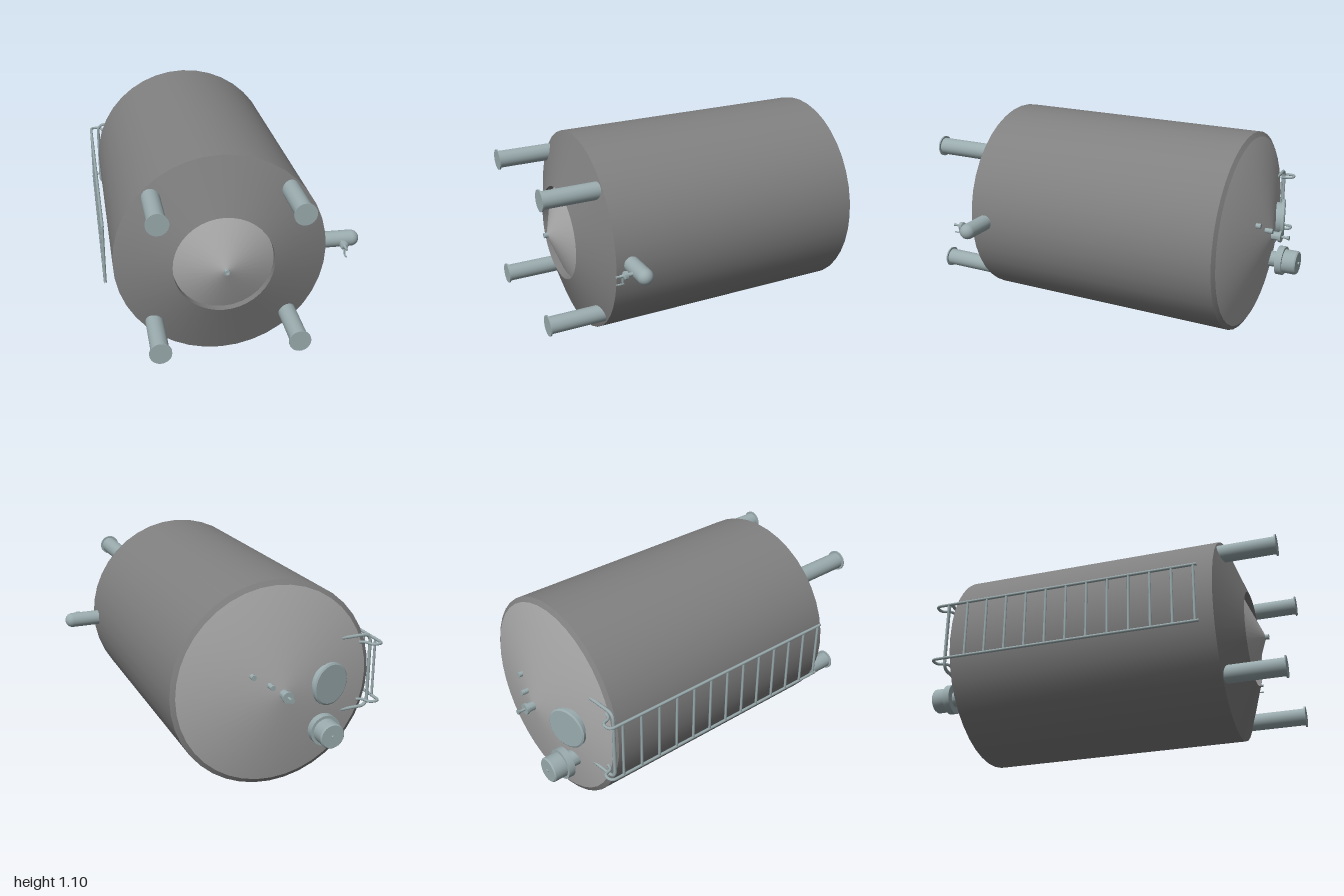
import * as THREE from 'three';
import { toCreasedNormals } from 'three/addons/utils/BufferGeometryUtils.js';

const CX = -0.08, CY = 0.555; // tank axis, running along z

export function createModel() {
  const root = new THREE.Group();
  root.name = 'storageTank';
  const shell = new THREE.MeshStandardMaterial({ color: 0x808080, side: THREE.DoubleSide });
  const ends = new THREE.MeshStandardMaterial({ color: 0xaaaaaa, side: THREE.DoubleSide });
  const steel = new THREE.MeshStandardMaterial({ color: 0x9aabae });

  const add = (name, geometry, material, parent = root) => {
    const mesh = new THREE.Mesh(geometry, material);
    mesh.name = name;
    parent.add(mesh);
    return mesh;
  };

  // Turned part about the z axis; profile is [radius, z] from back to front
  const turned = (name, profile, x, y, z, material = steel, sides = 20, parent = root) => {
    const g = new THREE.LatheGeometry(profile.map(p => new THREE.Vector2(p[0], p[1])), sides);
    g.rotateX(Math.PI / 2);
    const mesh = add(name, toCreasedNormals(g, 0.4), material, parent);
    mesh.position.set(x, y, z);
    return mesh;
  };

  // Bent bar through points, with rounded corners
  const bar = (name, points, radius, bend, parent) => {
    const v = points.map(p => new THREE.Vector3(...p));
    const path = new THREE.CurvePath();
    let from = v[0];
    for (let i = 1; i < v.length - 1; i++) {
      const a = v[i].clone().add(v[i - 1].clone().sub(v[i]).setLength(bend));
      const b = v[i].clone().add(v[i + 1].clone().sub(v[i]).setLength(bend));
      path.add(new THREE.LineCurve3(from, a));
      path.add(new THREE.QuadraticBezierCurve3(a, v[i], b));
      from = b;
    }
    path.add(new THREE.LineCurve3(from, v[v.length - 1]));
    add(name, new THREE.TubeGeometry(path, 120, radius, 8), steel, parent);
  };

  // Vessel: barrel with front shoulder and recess, and both conical ends
  turned('barrel', [[0.525, -0.78], [0.55, -0.765], [0.55, 0.685], [0.26, 0.79], [0.26, 0.75]],
    CX, CY, 0, shell, 40);
  turned('backCone', [[0, -0.91], [0.525, -0.78]], CX, CY, 0, ends, 40);
  turned('frontCone', [[0, 0.86], [0.26, 0.75]].reverse(), CX, CY, 0, ends, 32);
  turned('frontDrain', [[0.014, 0.84], [0.014, 0.875], [0.009, 0.875], [0.009, 0.86], [0, 0.86]], CX, CY, 0);

  // Four legs with foot plates
  for (const sx of [-1, 1]) for (const sy of [-1, 1])
    turned('leg', [[0, 0.65], [0.047, 0.65], [0.047, 0.992], [0.057, 0.992], [0.057, 1], [0, 1]],
      CX + sx * 0.35, CY + sy * 0.35, 0, steel, 24);

  // Side outlet with domed end
  const outlet = add('outletPipe', new THREE.CapsuleGeometry(0.043, 0.2, 8, 24), steel);
  outlet.rotation.z = Math.PI / 2;
  outlet.position.set(0.527, CY, 0.6);

  // Small sampling valve under the outlet
  const valve = new THREE.Group();
  valve.name = 'samplingValve';
  root.add(valve);
  turned('valveBody', [[0.01, 0.63], [0.01, 0.665], [0.022, 0.67], [0.022, 0.688], [0.009, 0.695],
    [0.006, 0.715], [0.008, 0.73], [0, 0.73]], 0.57, CY, 0, steel, 16, valve);
  const handle = add('valveHandle', new THREE.BoxGeometry(0.008, 0.045, 0.006), steel, valve);
  handle.position.set(0.57, CY - 0.022, 0.697);
  const grip = add('valveGrip', new THREE.BoxGeometry(0.008, 0.005, 0.04), steel, valve);
  grip.position.set(0.57, CY - 0.043, 0.71);

  // Central nozzle on the back cone
  turned('backNozzle', [[0, -1], [0.013, -1], [0.007, -0.98], [0.007, -0.957], [0.03, -0.957],
    [0.03, -0.943], [0.024, -0.943], [0.024, -0.89]], CX, CY, 0);
  // Two sensor stubs
  turned('sensorStub', [[0, -0.928], [0.014, -0.928], [0.014, -0.87]], -0.01, 0.605, 0, steel, 14);
  turned('sensorStub', [[0, -0.888], [0.014, -0.888], [0.014, -0.84]], 0.075, 0.655, 0, steel, 14);

  // Agitator motor
  turned('motor', [[0, -1], [0.008, -1], [0.008, -0.992], [0.062, -0.992], [0.068, -0.985], [0.068, -0.915],
    [0.083, -0.915], [0.083, -0.877], [0.045, -0.877], [0.045, -0.8]], -0.318, 0.32, 0, steel, 28);

  // Manhole lying square to the cone
  const manhole = turned('manhole', [[0, -0.014], [0.104, -0.014], [0.113, -0.008], [0.113, 0.006],
    [0.092, 0.006], [0.092, 0.055]], -0.35, 0.56, -0.875, steel, 32);
  manhole.rotation.y = 0.27;

  // Ladder: two hooked side rails, rungs, and a U-shaped grab bar on the cone
  const ladder = new THREE.Group();
  ladder.name = 'ladder';
  root.add(ladder);
  const railY = [0.405, 0.725];
  for (const y of railY)
    bar('ladderRail', [[-0.668, y, 0.62], [-0.668, y, -0.845], [-0.604, y, -0.845], [-0.6, y, -0.79],
      [-0.56, y, -0.785]], 0.008, 0.03, ladder);
  for (let i = 0; i < 13; i++) {
    const rung = add('rung', new THREE.CylinderGeometry(0.007, 0.007, railY[1] - railY[0], 8), steel, ladder);
    rung.position.set(-0.668, CY + 0.01, 0.6 - i * 0.114);
  }
  bar('grabBar', [[-0.45, 0.765, -0.798], [-0.624, 0.765, -0.79], [-0.624, 0.365, -0.79], [-0.45, 0.365, -0.798]],
    0.009, 0.045, ladder);

  return root;
}
